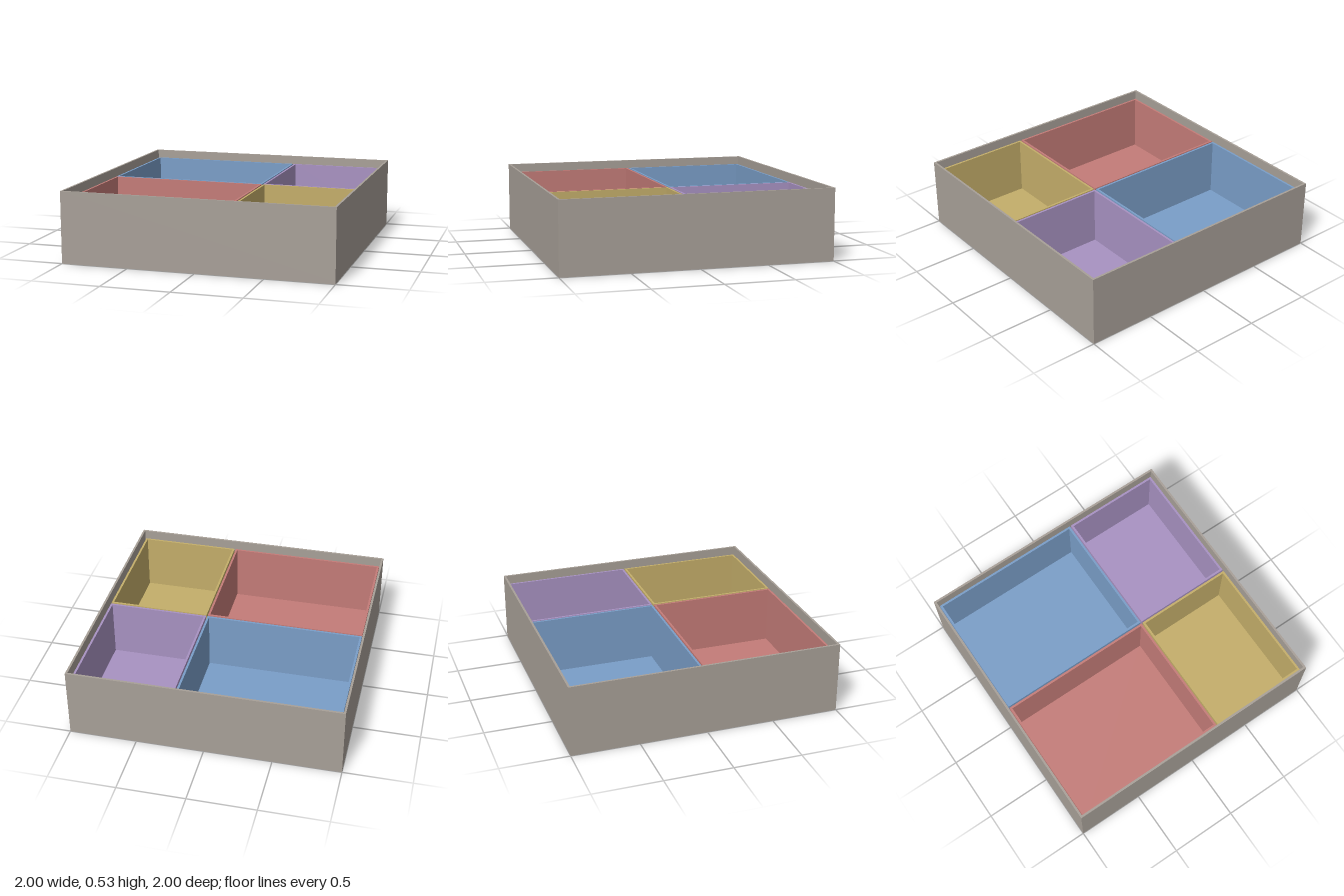
import * as THREE from 'three';

const WALL = 0.016;

// Rectangle outline traced on a shape or a hole path
function rect(path, x0, x1, z0, z1) {
  path.moveTo(x0, z0);
  path.lineTo(x1, z0);
  path.lineTo(x1, z1);
  path.lineTo(x0, z1);
  path.closePath();
  return path;
}

// Open-topped box: a thin floor with a hollow wall ring standing on it
function openBox(name, material, [x0, x1, z0, z1], bottom, top) {
  const group = new THREE.Group();
  group.name = name;

  const floor = new THREE.Mesh(new THREE.BoxGeometry(x1 - x0, WALL, z1 - z0), material);
  floor.position.set((x0 + x1) / 2, bottom + WALL / 2, (z0 + z1) / 2);
  floor.name = name + 'Floor';

  const outline = rect(new THREE.Shape(), x0, x1, -z1, -z0);
  outline.holes.push(rect(new THREE.Path(), x0 + WALL, x1 - WALL, -z1 + WALL, -z0 - WALL));
  const ring = new THREE.ExtrudeGeometry(outline, { depth: top - bottom - WALL, bevelEnabled: false });
  ring.rotateX(-Math.PI / 2);
  const walls = new THREE.Mesh(ring, material);
  walls.position.y = bottom + WALL;
  walls.name = name + 'Walls';

  group.add(floor, walls);
  return group;
}

export function createModel() {
  const model = new THREE.Group();
  model.name = 'dividedBox';
  const paint = (name, color) => {
    const material = new THREE.MeshStandardMaterial({ color });
    material.name = name;
    return material;
  };

  // Outer case
  model.add(openBox('case', paint('warmGrey', 0xa8a098), [-1, 1, -1, 1], 0, 0.53));

  // Four loose trays, sitting below the rim of the case
  const E = 0.973, G = 0.005;
  const trays = [
    ['backRightTray', 'blue', 0x7a9ec8, [-E, 0.209, -E, -G]],
    ['backLeftTray', 'purple', 0xa892c2, [0.219, E, -E, -G]],
    ['frontRightTray', 'red', 0xc47c78, [-E, 0.209, G, E]],
    ['frontLeftTray', 'yellow', 0xc4ae6a, [0.219, E, G, E]],
  ];
  for (const [name, colorName, color, bounds] of trays) {
    model.add(openBox(name, paint(colorName, color), bounds, WALL + 0.002, 0.467));
  }
  return model;
}
